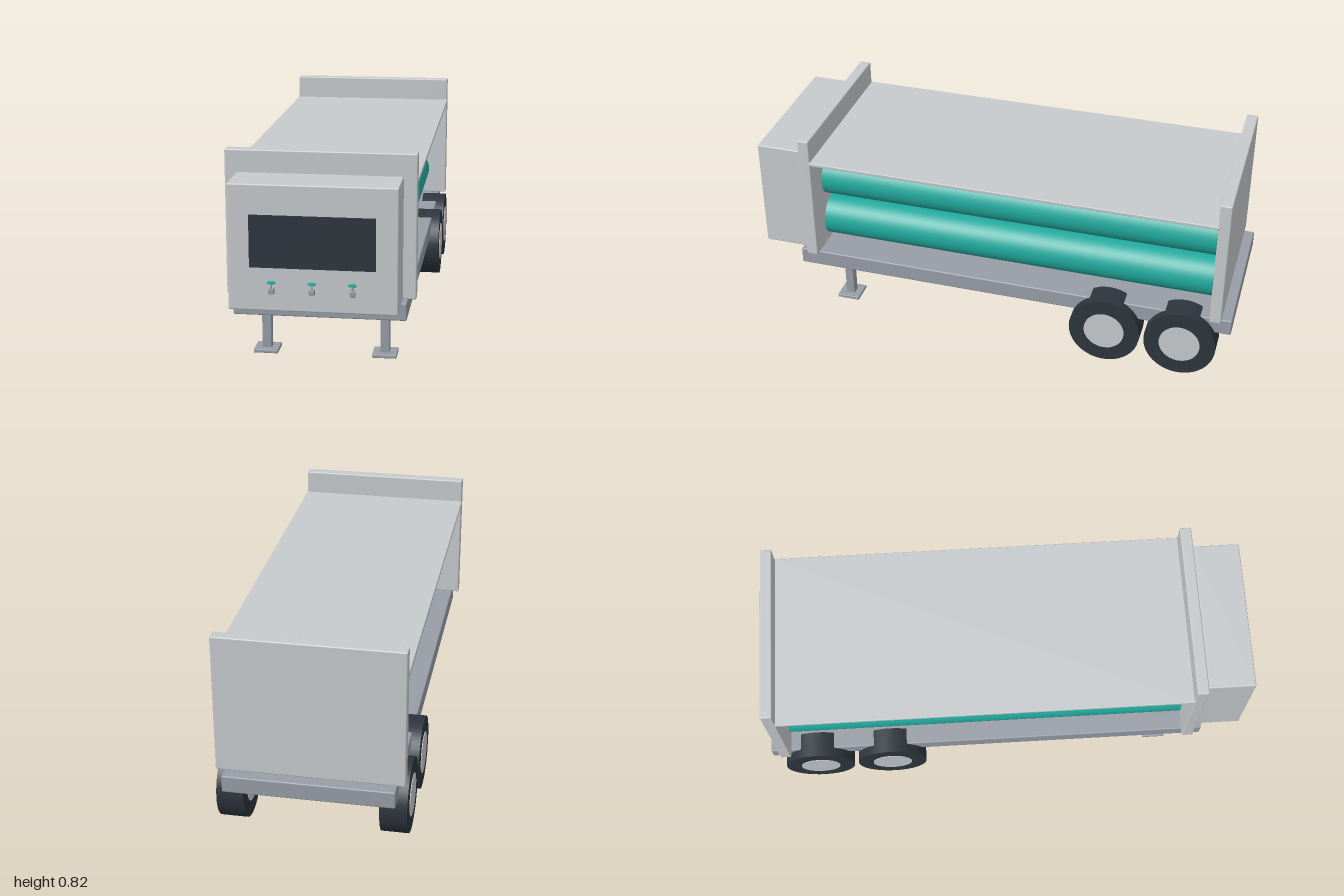
import * as THREE from 'three';
import { RoundedBoxGeometry } from 'three/addons/geometries/RoundedBoxGeometry.js';

const material = (name, color) => {
  const m = new THREE.MeshStandardMaterial({ color });
  m.name = name;
  return m;
};

export function createModel() {
  const model = new THREE.Group();
  model.name = 'tubeTrailer';

  const panel = material('pale grey', 0xc6cacc);
  const steel = material('steel grey', 0x979ca6);
  const teal = material('teal', 0x22aa9e);
  const dark = material('dark slate', 0x2d353d);

  const add = (name, geometry, mat, parent = model) => {
    const mesh = new THREE.Mesh(geometry, mat);
    mesh.name = name;
    parent.add(mesh);
    return mesh;
  };

  // Softly bevelled box given by its limits on each axis
  const box = (name, mat, [x0, x1], [y0, y1], [z0, z1], bevel = 0.005, parent = model) => {
    const size = [x1 - x0, y1 - y0, z1 - z0];
    const geometry = bevel
      ? new RoundedBoxGeometry(...size, 2, bevel)
      : new THREE.BoxGeometry(...size);
    const mesh = add(name, geometry, mat, parent);
    mesh.position.set((x0 + x1) / 2, (y0 + y1) / 2, (z0 + z1) / 2);
    return mesh;
  };

  // Deck, end walls and roof
  box('deck', steel, [-0.322, 0.322], [0.204, 0.272], [-1, 0.81]);
  box('frontWall', panel, [-0.353, 0.353], [0.275, 0.82], [0.724, 0.77]);
  box('rearWall', panel, [-0.353, 0.353], [0.275, 0.82], [-0.96, -0.914]);
  box('roof', panel, [-0.355, 0.355], [0.71, 0.724], [-0.92, 0.73], 0.003);

  // Gas tubes, three across and two high
  const tubeGeometry = new THREE.CylinderGeometry(0.086, 0.086, 1.62, 40);
  tubeGeometry.rotateX(Math.PI / 2);
  for (const x of [-0.188, 0, 0.188]) {
    for (const y of [0.39, 0.587]) {
      add('gasTube', tubeGeometry, teal).position.set(x, y, -0.095);
    }
  }

  // Control cabinet with its dark front panel
  box('cabinet', panel, [-0.305, 0.305], [0.277, 0.74], [0.784, 0.97]);
  box('cabinetWindow', dark, [-0.226, 0.226], [0.438, 0.63], [0.968, 0.976], 0);

  // Valves: body, stem and handwheel
  for (const x of [-0.145, 0, 0.145]) {
    const valve = new THREE.Group();
    valve.name = 'valve';
    valve.position.set(x, 0.356, 0.985);
    box('valveBody', steel, [-0.01, 0.01], [-0.01, 0.01], [-0.01, 0.01], 0.002, valve);
    add('valveStem', new THREE.CylinderGeometry(0.003, 0.003, 0.024, 12), steel, valve).position.y = 0.02;
    add('handwheel', new THREE.CylinderGeometry(0.015, 0.015, 0.004, 24), teal, valve).position.y = 0.031;
    model.add(valve);
  }

  // Tandem wheels; hubs stand slightly proud on both faces
  const tyreGeometry = new THREE.CylinderGeometry(0.144, 0.144, 0.103, 40);
  const hubGeometry = new THREE.CylinderGeometry(0.082, 0.082, 0.108, 32);
  tyreGeometry.rotateZ(Math.PI / 2);
  hubGeometry.rotateZ(Math.PI / 2);
  for (const side of [-1, 1]) {
    for (const z of [-0.5, -0.806]) {
      const wheel = new THREE.Group();
      wheel.name = 'wheel';
      wheel.position.set(side * 0.307, 0.146, z);
      add('tyre', tyreGeometry, dark, wheel);
      add('hub', hubGeometry, panel, wheel);
      model.add(wheel);
    }

    // Landing leg and foot plate
    const x = side * 0.227;
    box('landingLeg', steel, [x - 0.018, x + 0.018], [0.02, 0.206], [0.618, 0.654], 0.003);
    box('landingFoot', steel, [x - 0.047, x + 0.047], [0.009, 0.023], [0.589, 0.683], 0.003);
  }

  return model;
}
